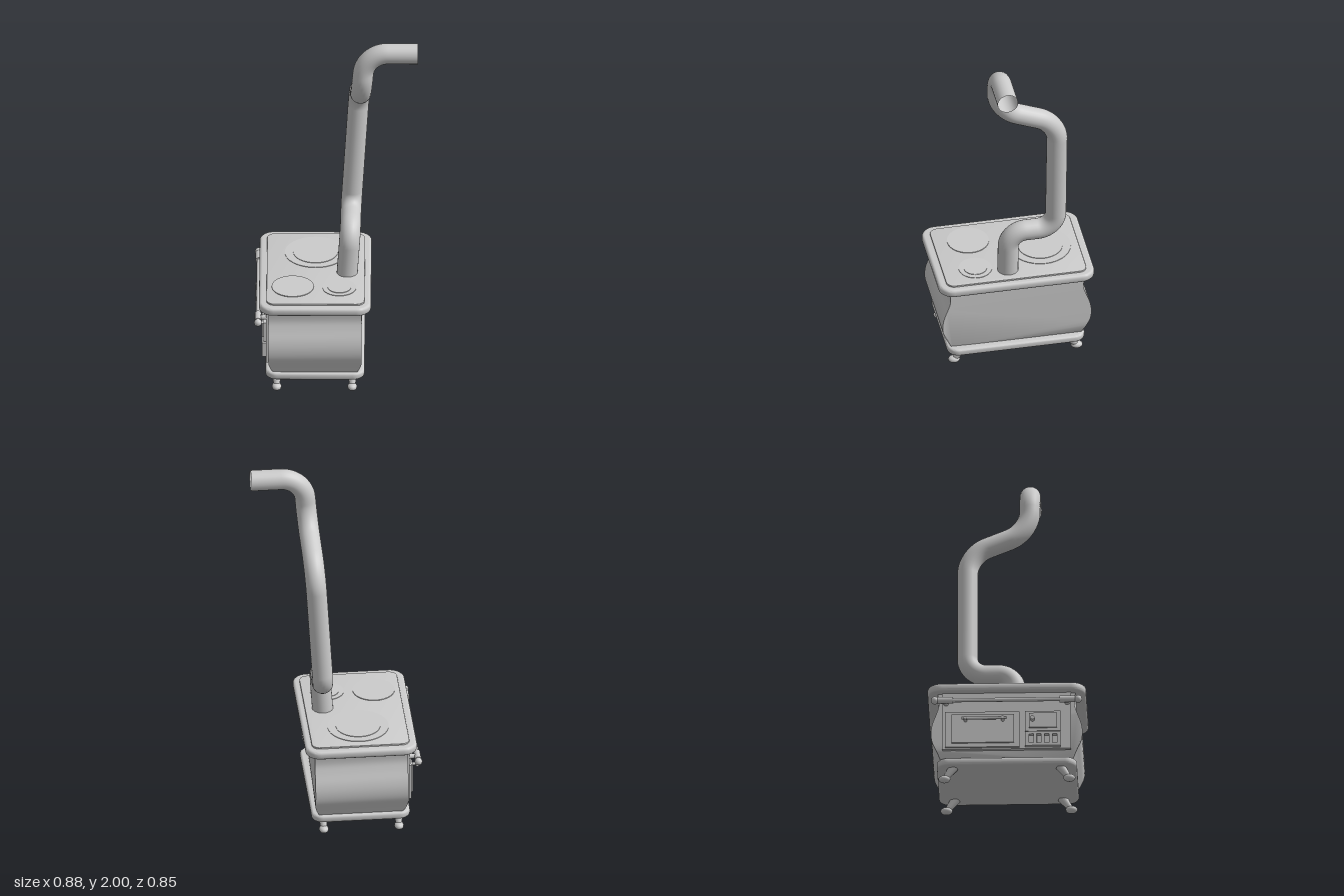
import * as THREE from 'three';
import { toCreasedNormals } from 'three/addons/utils/BufferGeometryUtils.js';

const V = (x, y, z) => new THREE.Vector3(x, y, z);

export function createModel() {
  const stove = new THREE.Group();
  stove.name = 'stove';
  const grey = new THREE.MeshStandardMaterial({ color: 0xcccccc });
  const open = new THREE.MeshStandardMaterial({ color: 0xcccccc, side: THREE.DoubleSide });

  const add = (name, geometry, pos = [0, 0, 0], material = grey) => {
    const mesh = new THREE.Mesh(geometry, material);
    mesh.name = name;
    mesh.position.set(...pos);
    stove.add(mesh);
    return mesh;
  };
  const box = (name, x0, x1, y0, y1, z0, z1) =>
    add(name, new THREE.BoxGeometry(x1 - x0, y1 - y0, z1 - z0), [(x0 + x1) / 2, (y0 + y1) / 2, (z0 + z1) / 2]);
  const rod = (name, a, b, r0, r1 = r0, sides = 12) => {
    const d = b.clone().sub(a);
    const mesh = add(name, new THREE.CylinderGeometry(r1, r0, d.length(), sides), a.clone().add(b).multiplyScalar(0.5).toArray());
    mesh.quaternion.setFromUnitVectors(V(0, 1, 0), d.normalize());
    return mesh;
  };

  // Horizontal slab with rounded corners and bevelled edges
  const slab = (name, x0, x1, halfZ, r, y0, y1, bevel) => {
    const l = x0 + bevel, w = x1 - bevel, h = halfZ - bevel;
    const s = new THREE.Shape();
    s.absarc(w - r, h - r, r, 0, Math.PI / 2);
    s.absarc(l + r, h - r, r, Math.PI / 2, Math.PI);
    s.absarc(l + r, r - h, r, Math.PI, Math.PI * 1.5);
    s.absarc(w - r, r - h, r, Math.PI * 1.5, Math.PI * 2);
    const g = new THREE.ExtrudeGeometry(s, {
      depth: y1 - y0 - 2 * bevel, bevelSize: bevel, bevelThickness: bevel, bevelSegments: 3, curveSegments: 4,
    });
    g.rotateX(-Math.PI / 2);
    add(name, toCreasedNormals(g, 0.6), [0, y0 + bevel, 0]);
  };
  slab('basePlate', -0.38, 0.15, 0.375, 0.05, 0.08, 0.12, 0.012);
  slab('topRim', -0.415, 0.185, 0.425, 0.065, 0.5, 0.545, 0.014);
  slab('cookTop', -0.375, 0.15, 0.382, 0.04, 0.54, 0.554, 0.003);

  // Bulging body: side profile swept across x, drawn in at the foot
  const side = new THREE.SplineCurve([
    [0.35, 0.11], [0.375, 0.165], [0.4, 0.22], [0.406, 0.275], [0.397, 0.33],
    [0.375, 0.39], [0.363, 0.44], [0.37, 0.51],
  ].map(p => new THREE.Vector2(...p))).getPoints(28);
  const profile = new THREE.Shape([...side, ...side.map(p => new THREE.Vector2(-p.x, p.y)).reverse()]);
  const body = new THREE.ExtrudeGeometry(profile, { depth: 0.5, bevelEnabled: false });
  body.translate(0, 0, -0.25).rotateY(-Math.PI / 2);
  const p = body.attributes.position;
  for (let i = 0; i < p.count; i++) {
    const t = Math.max(0, (0.2 - p.getY(i)) / 0.09);
    p.setX(i, p.getX(i) * (1 - 0.12 * t * t));
  }
  add('body', toCreasedNormals(body, 0.6), [-0.115, 0, 0]);

  // Burner plates
  const burner = (x, z, r, top) =>
    add('burner', new THREE.CylinderGeometry(r, r, 0.01, 32), [x, top - 0.005, z]);
  burner(-0.115, -0.175, 0.165, 0.557);
  burner(-0.115, -0.175, 0.12, 0.56);
  burner(-0.235, 0.195, 0.113, 0.558);
  burner(0.015, 0.205, 0.09, 0.557);
  burner(0.015, 0.205, 0.063, 0.56);

  // Splayed legs with ball feet
  for (const x of [-0.32, 0.085]) for (const s of [-1, 1]) {
    rod('leg', V(x, 0.025, s * 0.33), V(x, 0.09, s * 0.285), 0.016, 0.027);
    const foot = add('foot', new THREE.SphereGeometry(0.026, 14, 10), [x, 0.02, s * 0.335]);
    foot.scale.set(1, 0.77, 1.25);
  }

  // Towel rail with collars, end balls and brackets
  const railX = -0.42, railY = 0.44;
  rod('rail', V(railX, railY, -0.38), V(railX, railY, 0.38), 0.011);
  for (const s of [-1, 1]) {
    rod('railCollar', V(railX, railY, s * 0.285), V(railX, railY, s * 0.368), 0.018);
    rod('railBracket', V(railX, railY, s * 0.325), V(-0.36, railY, s * 0.325), 0.011, 0.015);
    add('railBall', new THREE.SphereGeometry(0.021, 16, 12), [railX, railY, s * 0.384]);
  }

  // Oven door, built from stepped panels
  box('frontPlate', -0.376, -0.355, 0.17, 0.5, -0.345, 0.345);
  box('ovenDoor', -0.388, -0.37, 0.178, 0.385, -0.33, 0.07);
  box('ovenDoorPanel', -0.398, -0.38, 0.2, 0.365, -0.295, 0.04);
  rod('ovenHandle', V(-0.428, 0.33, -0.24), V(-0.428, 0.33, 0), 0.008);
  for (const z of [-0.22, -0.02]) {
    rod('ovenHandlePost', V(-0.436, 0.33, z), V(-0.39, 0.33, z), 0.009);
  }

  // Fire door above a slotted ash grate
  box('fireDoor', -0.39, -0.37, 0.268, 0.385, 0.1, 0.29);
  box('fireDoorPanel', -0.4, -0.38, 0.285, 0.37, 0.12, 0.27);
  rod('fireDoorKnob', V(-0.43, 0.33, 0.14), V(-0.39, 0.33, 0.14), 0.011);
  const grate = new THREE.Shape([[-0.095, 0], [0.095, 0], [0.095, 0.083], [-0.095, 0.083]].map(q => new THREE.Vector2(...q)));
  for (let i = 0; i < 4; i++) {
    const c = -0.063 + i * 0.042;
    grate.holes.push(new THREE.Path([[c - 0.012, 0.015], [c - 0.012, 0.068], [c + 0.012, 0.068], [c + 0.012, 0.015]].map(q => new THREE.Vector2(...q))));
  }
  const grateGeo = new THREE.ExtrudeGeometry(grate, { depth: 0.03, bevelEnabled: false });
  grateGeo.rotateY(-Math.PI / 2);
  add('ashGrate', grateGeo, [-0.37, 0.178, 0.195]);

  // Crooked stovepipe: straight runs joined by rounded elbows
  const corners = [
    V(0.055, 0.545, 0.035), V(0.073, 0.815, 0.035), V(0.075, 0.815, -0.222), V(0.12, 1.545, -0.222),
    V(0.13, 1.685, 0.11), V(0.152, 1.945, 0.11), V(0.435, 1.945, 0.11),
  ];
  const bends = [0, 0.095, 0.1, 0.11, 0.12, 0.12];
  const path = new THREE.CurvePath();
  let from = corners[0];
  for (let i = 1; i < corners.length - 1; i++) {
    const c = corners[i];
    const toward = q => c.clone().add(q.clone().sub(c).setLength(bends[i]));
    const a = toward(corners[i - 1]), b = toward(corners[i + 1]);
    const k = 0.55;
    path.add(new THREE.LineCurve3(from, a));
    path.add(new THREE.CubicBezierCurve3(a, a.clone().lerp(c, k), b.clone().lerp(c, k), b));
    from = b;
  }
  path.add(new THREE.LineCurve3(from, corners[corners.length - 1]));
  add('stovepipe', new THREE.TubeGeometry(path, 160, 0.056, 24), [0, 0, 0], open);

  return stove;
}
